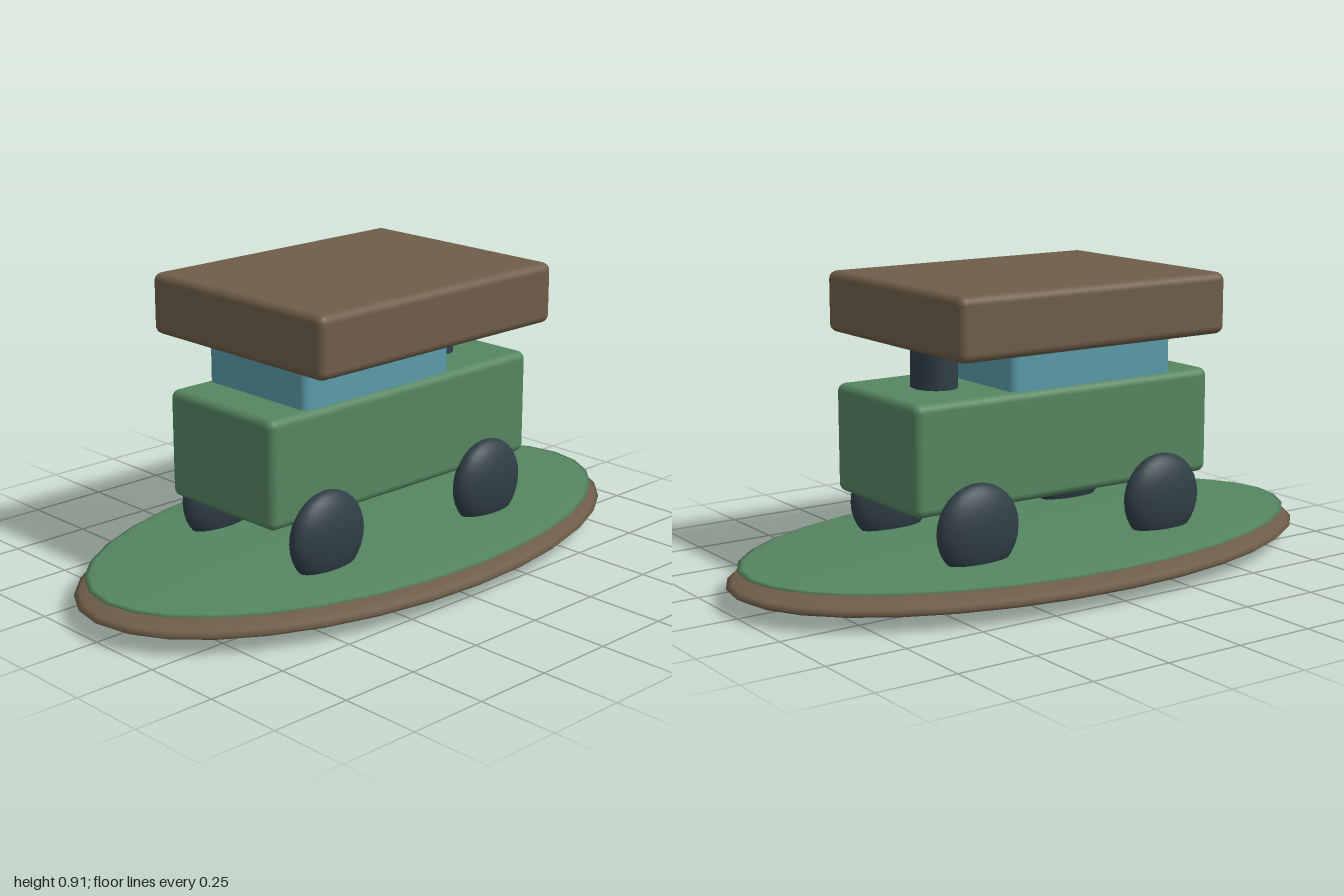
import * as THREE from 'three';
import { RoundedBoxGeometry } from 'three/addons/geometries/RoundedBoxGeometry.js';

const paint = (color) => new THREE.MeshStandardMaterial({ color });

export function createModel() {
  const model = new THREE.Group();
  const brown = paint(0x6e5d49);
  const green = paint(0x558560);
  const blue = paint(0x5a9ba8);
  const dark = paint(0x2f3f46);

  const add = (name, geometry, material, x, y, z) => {
    const mesh = new THREE.Mesh(geometry, material);
    mesh.name = name;
    mesh.position.set(x, y, z);
    model.add(mesh);
    return mesh;
  };
  const box = (name, material, w, h, d, x, y, z) =>
    add(name, new RoundedBoxGeometry(w, h, d, 4, 0.026), material, x, y, z);
  const ellipsoid = (name, material, rx, ry, rz, x, y, z) =>
    add(name, new THREE.SphereGeometry(1, 32, 16).scale(rx, ry, rz), material, x, y, z);

  // Oval stand: a flattened earth disc with a thin grass disc on top
  ellipsoid('earthBase', brown, 1, 0.057, 0.545, 0, 0.057, 0);
  ellipsoid('grassTop', green, 0.965, 0.018, 0.522, 0, 0.105, 0);

  // Four flattened wheels, sunk slightly into the grass
  for (const x of [-0.342, 0.342]) {
    for (const z of [-0.242, 0.242]) {
      ellipsoid('wheel', dark, 0.139, 0.139, 0.057, x, 0.211, z);
    }
  }

  // Body, cabin and overhanging roof
  box('body', green, 1.08, 0.332, 0.455, 0, 0.429, 0);
  box('cabin', blue, 0.6, 0.22, 0.426, -0.1, 0.66, 0);
  box('roof', brown, 0.962, 0.188, 0.742, 0, 0.82, 0);

  // Oval funnel between body and roof
  add('funnel', new THREE.CylinderGeometry(1, 1, 0.22, 32).scale(0.067, 1, 0.079),
    dark, 0.333, 0.66, 0);

  return model;
}
